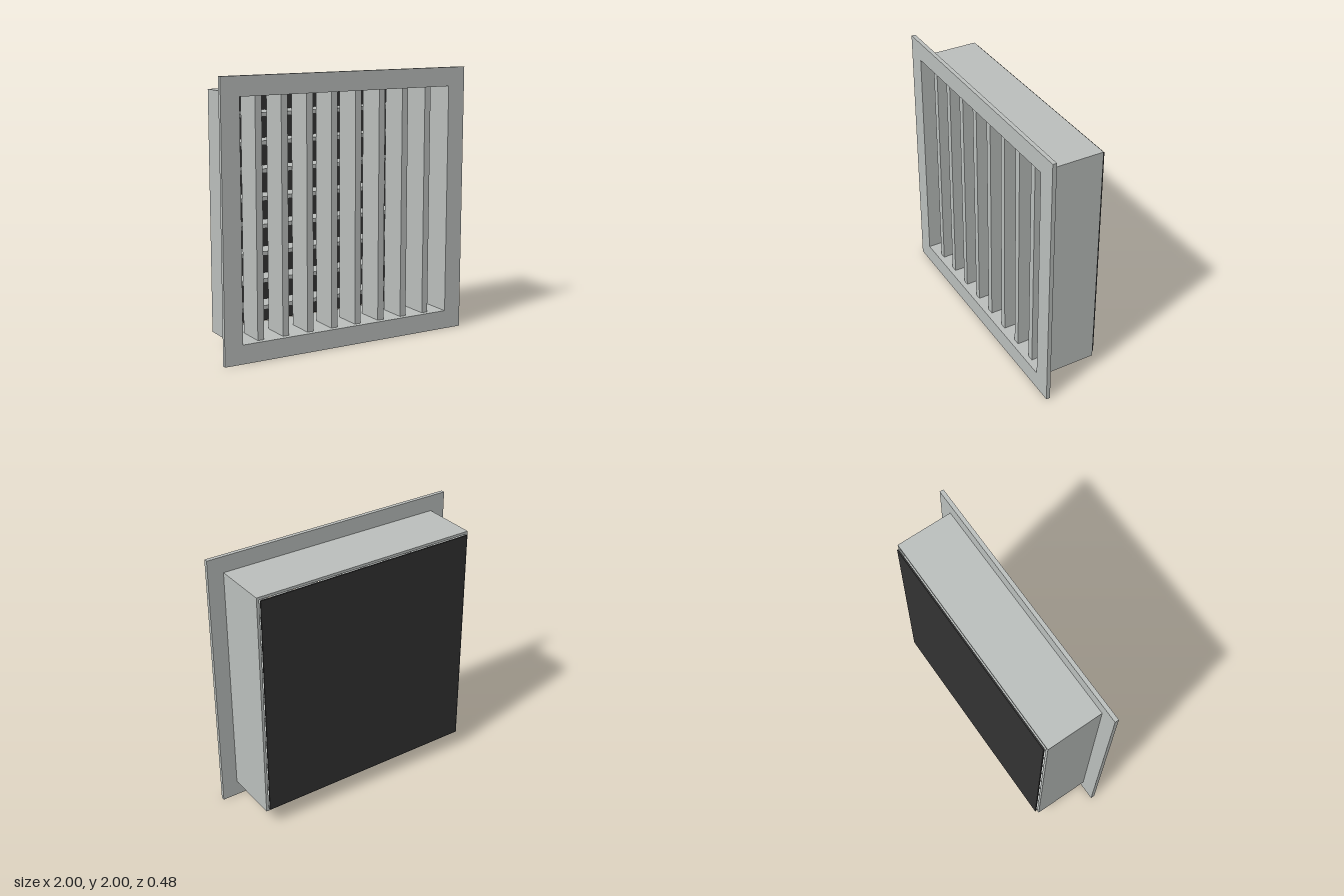
import * as THREE from 'three';

const OPENING = 0.86; // half-size of the clear opening
const MID = 1;        // height of the centre

// Square ring, extruded from z0 to z1
function squareRing(half, hole, z0, z1) {
  const square = (path, h) => path.moveTo(-h, -h).lineTo(h, -h).lineTo(h, h).lineTo(-h, h).closePath();
  const shape = square(new THREE.Shape(), half);
  shape.holes.push(square(new THREE.Path(), hole));
  return new THREE.ExtrudeGeometry(shape, { depth: z1 - z0, bevelEnabled: false }).translate(0, MID, z0);
}

export function createModel() {
  const model = new THREE.Group();
  model.name = 'ventGrille';

  const paintedMetal = new THREE.MeshStandardMaterial({ color: 0xbcc0be });
  paintedMetal.name = 'paintedMetal';
  const darkBacking = new THREE.MeshStandardMaterial({ color: 0x333333 });
  darkBacking.name = 'darkBacking';

  const add = (parent, name, geometry, material) => {
    const mesh = new THREE.Mesh(geometry, material);
    mesh.name = name;
    parent.add(mesh);
    return mesh;
  };

  // Wall flange and the duct collar behind it
  add(model, 'frontFlange', squareRing(1, OPENING, 0.21, 0.24), paintedMetal);
  add(model, 'ductCollar', squareRing(0.88, OPENING, -0.22, 0.21), paintedMetal);

  // Upright blades in front, level blades behind
  const uprights = new THREE.Group();
  uprights.name = 'uprightBlades';
  const levels = new THREE.Group();
  levels.name = 'levelBlades';
  model.add(uprights, levels);

  const uprightBlade = new THREE.BoxGeometry(0.05, 2 * OPENING, 0.22);
  const levelBlade = new THREE.BoxGeometry(2 * OPENING, 0.03, 0.17);
  for (let i = 0; i < 8; i++) {
    const offset = -0.7 + 0.2 * i;
    add(uprights, 'uprightBlade', uprightBlade, paintedMetal).position.set(offset, MID, 0.09);
    add(levels, 'levelBlade', levelBlade, paintedMetal).position.set(0, MID + offset, -0.115);
  }

  // Dark sheet just behind the collar
  add(model, 'backPanel', new THREE.BoxGeometry(2 * OPENING, 2 * OPENING, 0.01), darkBacking)
    .position.set(0, MID, -0.235);

  return model;
}
